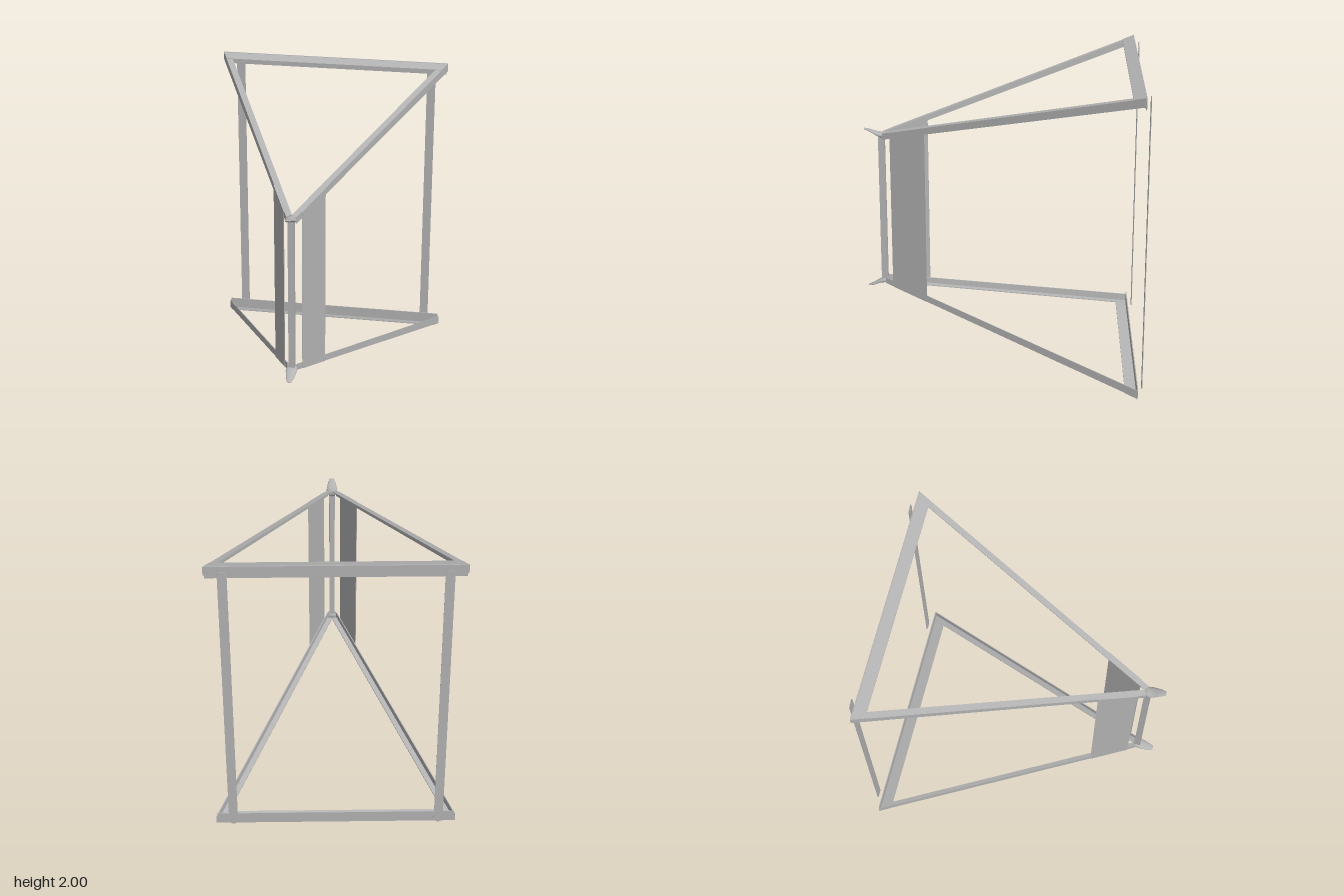
import * as THREE from 'three';
import { ConvexGeometry } from 'three/addons/geometries/ConvexGeometry.js';

const steel = new THREE.MeshStandardMaterial({ color: 0xb4b4b4, side: THREE.DoubleSide });
steel.name = 'grey steel';

const T = 0.006; // sheet thickness
const BACK = -0.88, APEX = 0.79, RAIL = 0.042;
const roofY = z => 1.75 - 0.28 * z;             // sloped plane of the upper frame
const outerX = z => 0.745 - 0.448 * (z + 0.8);  // outer edge of a side rail
const innerX = z => Math.max(0, outerX(z) - 0.045);

function add(parent, name, geometry) {
  const mesh = new THREE.Mesh(geometry, steel);
  mesh.name = name;
  parent.add(mesh);
  return mesh;
}

// flat plate: corner points swept by a small offset
function slab(corners, offset) {
  const d = new THREE.Vector3(...offset);
  const pts = corners.map(c => new THREE.Vector3(...c));
  return new ConvexGeometry([...pts, ...pts.map(p => p.clone().add(d))]);
}

// curved horn: elliptical sections lofted along z
function hornGeometry() {
  const sections = [ // z, top, bottom, half width
    [0.775, 1.535, 1.492, 0.028], [0.8, 1.531, 1.495, 0.036], [0.825, 1.533, 1.506, 0.036],
    [0.85, 1.541, 1.522, 0.031], [0.88, 1.552, 1.539, 0.024], [0.91, 1.556, 1.55, 0.015]
  ];
  const n = 12, pos = [], index = [];
  for (const [z, top, bottom, w] of sections) {
    for (let i = 0; i < n; i++) {
      const a = i / n * Math.PI * 2;
      pos.push(Math.cos(a) * w, (top + bottom) / 2 + Math.sin(a) * (top - bottom) / 2, z);
    }
  }
  for (let s = 0; s < sections.length - 1; s++) {
    for (let i = 0; i < n; i++) {
      const a = s * n + i, b = s * n + (i + 1) % n;
      index.push(a, b, b + n, a, b + n, a + n);
    }
  }
  const last = (sections.length - 1) * n;
  for (let i = 1; i < n - 1; i++) {
    index.push(0, i + 1, i, last, last + i, last + i + 1);
  }
  const g = new THREE.BufferGeometry();
  g.setAttribute('position', new THREE.Float32BufferAttribute(pos, 3));
  g.setIndex(index);
  g.computeVertexNormals();
  return g;
}

// triangular frame of angle-section rails, with a horn at the apex
function makeFrame(name) {
  const frame = new THREE.Group();
  frame.name = name;
  for (const s of [1, -1]) {
    const top = (x, z) => [s * x, roofY(z), z];
    add(frame, 'railTopFlange', slab([
      top(outerX(BACK), BACK), top(outerX(APEX), APEX), top(0, APEX),
      top(0, 0.77), top(innerX(BACK), BACK)
    ], [0, -T, 0]));
    const side = (z, drop) => [s * outerX(z), roofY(z) - drop, z];
    add(frame, 'railSideFlange', slab([
      side(BACK, 0), side(APEX, 0), side(APEX, RAIL), side(-0.8, RAIL), side(BACK, 0.055)
    ], [-s * T, 0, 0]));
  }
  // rear cross bar
  const xb = outerX(BACK), xf = outerX(-0.8), yb = roofY(BACK) + 0.003, yf = roofY(-0.8) + 0.003;
  add(frame, 'rearBarTopFlange', slab(
    [[-xb, yb, BACK], [xb, yb, BACK], [xf, yf, -0.8], [-xf, yf, -0.8]], [0, -T, 0]));
  add(frame, 'rearBarBackFlange', slab(
    [[-xb, yb, BACK], [xb, yb, BACK], [xb - 0.01, 1.92, BACK], [-xb + 0.01, 1.92, BACK]], [0, 0, T]));
  add(frame, 'horn', hornGeometry());
  return frame;
}

// long strap with rounded ends and a bolt hole at each end
function strapGeometry() {
  const r = 0.029, h = 0.95;
  const shape = new THREE.Shape();
  shape.absarc(0, h, r, 0, Math.PI, false);
  shape.absarc(0, -h, r, Math.PI, Math.PI * 2, false);
  shape.closePath();
  for (const y of [h, -h]) {
    shape.holes.push(new THREE.Path().absarc(0, y, 0.007, 0, Math.PI * 2, true));
  }
  return new THREE.ExtrudeGeometry(shape, { depth: 0.004, bevelEnabled: false, curveSegments: 12 });
}

export function createModel() {
  const model = new THREE.Group();
  model.name = 'triangularFrame';

  model.add(makeFrame('upperFrame'));
  const lower = makeFrame('lowerFrame');
  lower.rotation.z = Math.PI; // same frame turned upside down
  lower.position.y = 2;
  model.add(lower);

  // front post between the horns
  add(model, 'frontPost', new THREE.BoxGeometry(0.038, 1.0, 0.043)).position.set(0, 1, 0.798);

  for (const s of [1, -1]) {
    // side panel near the apex
    const corner = (z, up) => {
      const y = roofY(z);
      return [s * (outerX(z) + 0.004), up ? y : 2 - y, z];
    };
    add(model, 'sidePanel', slab(
      [corner(0.74, true), corner(0.505, true), corner(0.505, false), corner(0.74, false)],
      [-s * 0.004, 0, 0]));
    // rear strap
    add(model, 'rearStrap', strapGeometry()).position.set(s * 0.667, 1, -0.913);
  }
  return model;
}
